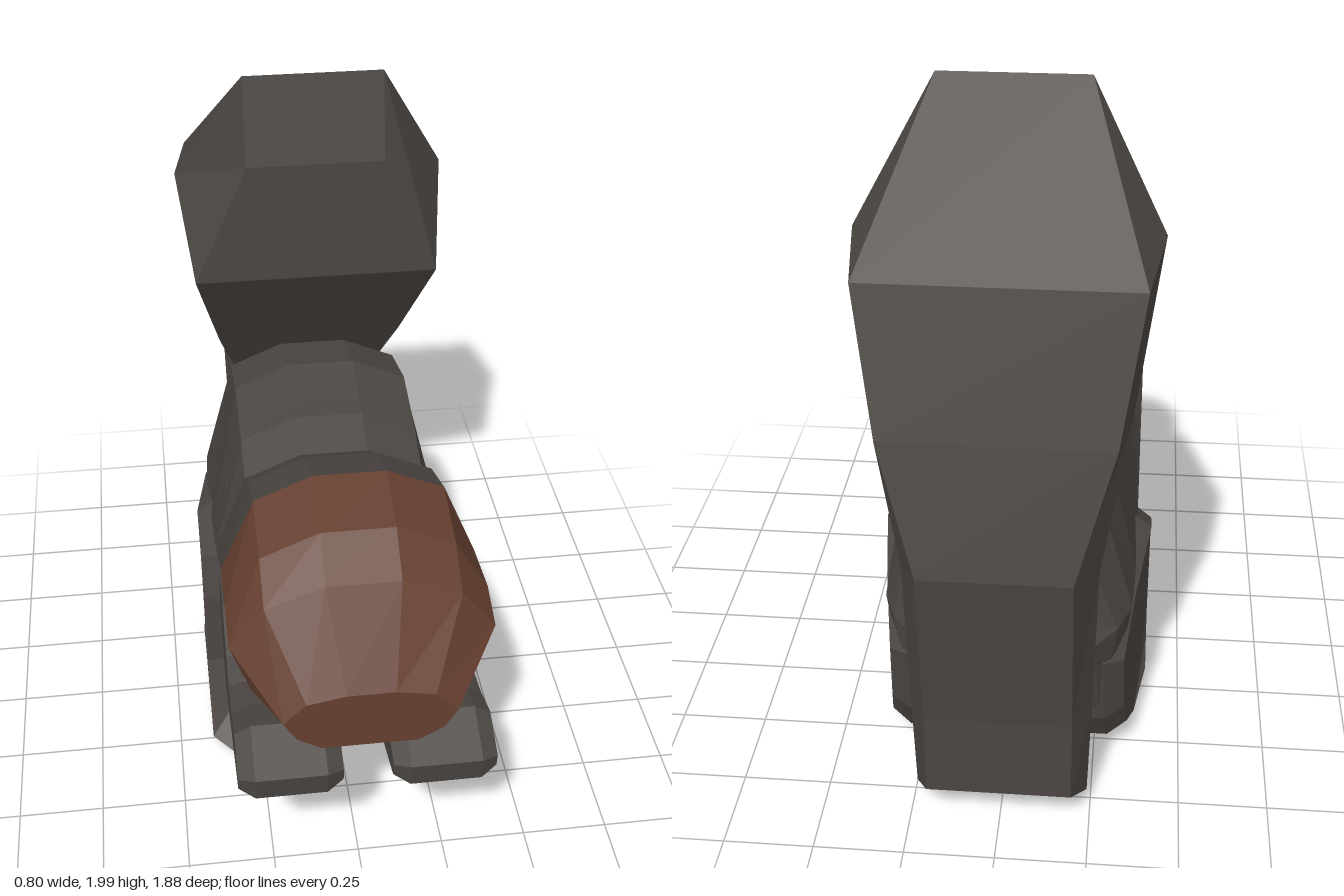
import * as THREE from 'three';

const fur = new THREE.MeshStandardMaterial({ color: 0x4b4642, flatShading: true });
const faceFur = new THREE.MeshStandardMaterial({ color: 0x643f2f, flatShading: true });

// Skins mirrored rings; each half ring lists [x, y, z] points on the +x side.
function loft(name, halves, material) {
  const rings = halves.map((h) => [...h, ...[...h].reverse().map(([x, y, z]) => [-x, y, z])]);
  const n = rings[0].length;
  const index = [];
  for (let i = 0; i < rings.length - 1; i++) {
    for (let j = 0; j < n; j++) {
      const a = i * n + j, b = i * n + (j + 1) % n;
      index.push(a, b, b + n, a, b + n, a + n);
    }
  }
  const last = (rings.length - 1) * n;
  for (let j = 1; j < n - 1; j++) {
    index.push(0, j + 1, j, last, last + j, last + j + 1);
  }
  const geometry = new THREE.BufferGeometry();
  geometry.setAttribute('position', new THREE.Float32BufferAttribute(rings.flat(2), 3));
  geometry.setIndex(index);
  geometry.computeVertexNormals();
  const mesh = new THREE.Mesh(geometry, material);
  mesh.name = name;
  return mesh;
}

// Half ring of the trunk: z, five heights from spine to belly, width scale.
const trunkX = [0.1, 0.26, 0.355, 0.3, 0.2];
const trunkRing = ([z, top, upper, middle, lower, bottom, scale = 1]) =>
  [top, upper, middle, lower, bottom].map((y, i) => [trunkX[i] * scale, y, z]);

// Bevelled slab from a side profile of [z, y] points, centred on x.
function slab(name, profile, x, width, bevel, inset) {
  const shape = new THREE.Shape(profile.map(([z, y]) => new THREE.Vector2(z, y)));
  const geometry = new THREE.ExtrudeGeometry(shape, {
    depth: width - 2 * bevel, bevelThickness: bevel,
    bevelSize: inset, bevelOffset: -inset, bevelSegments: 1,
  });
  geometry.translate(0, 0, bevel - width / 2);
  geometry.rotateY(-Math.PI / 2);
  geometry.translate(x, 0, 0);
  // Narrow towards the rump
  const p = geometry.attributes.position;
  for (let i = 0; i < p.count; i++) {
    const back = Math.max(0, -0.25 - p.getZ(i));
    p.setX(i, p.getX(i) * (1 - 0.45 * back));
  }
  geometry.computeVertexNormals();
  const mesh = new THREE.Mesh(geometry, fur);
  mesh.name = name;
  return mesh;
}

export function createModel() {
  const group = new THREE.Group();
  group.name = 'squirrel';

  // Face, from the muzzle back
  const neck = [0.48, 1.2, 1.13, 0.9, 0.67, 0.6];
  const face = [
    [0.935, 0.83, 0.81, 0.75, 0.69, 0.65, 0.65],
    [0.77, 1.06, 1.0, 0.88, 0.72, 0.66],
    [0.66, 1.15, 1.08, 0.92, 0.74, 0.7],
    neck,
  ];
  group.add(loft('face', face.map(trunkRing), faceFur));

  // Body, from the neck to the rump
  const body = [
    neck,
    [0.3, 1.13, 1.06, 0.8, 0.55, 0.49],
    [0.15, 1.03, 0.96, 0.71, 0.48, 0.42],
    [0.03, 1.08, 1.01, 0.66, 0.45, 0.39],
    [-0.04, 1.09, 1.03, 0.64, 0.12, 0.05],
    [-0.18, 1.13, 1.06, 0.58, 0.1, 0.03],
    [-0.4, 1.07, 1.0, 0.56, 0.1, 0.03],
    [-0.55, 0.94, 0.89, 0.54, 0.14, 0.07, 0.98],
    [-0.64, 0.78, 0.75, 0.53, 0.26, 0.2, 0.88],
    [-0.7, 0.62, 0.6, 0.51, 0.45, 0.42, 0.7],
  ];
  group.add(loft('body', body.map(trunkRing), fur));

  // Tail, from base to tip: front, side and back edges as [half width, y, z]
  const tail = [
    [[0.2, 0.01, -0.7], [0.24, 0.07, -0.78], [0.2, 0.13, -0.88]],
    [[0.2, 0.4, -0.69], [0.25, 0.39, -0.78], [0.2, 0.38, -0.88]],
    [[0.2, 0.76, -0.66], [0.26, 0.82, -0.79], [0.2, 0.88, -0.94]],
    [[0.29, 1.06, -0.47], [0.33, 1.2, -0.66], [0.3, 1.23, -0.86]],
    [[0.36, 1.39, -0.25], [0.4, 1.64, -0.48], [0.36, 1.61, -0.76]],
    [[0.2, 1.75, -0.26], [0.2, 2, -0.32], [0.2, 2, -0.32]],
  ];
  group.add(loft('tail', tail, fur));

  // Paired limbs
  const arm = [
    [0.2, 0.46], [0.35, 0.315], [0.93, 0.475], [0.94, 0.55], [0.8, 0.615],
    [0.68, 0.575], [0.57, 0.56], [0.53, 0.62], [0.4, 0.72], [0.2, 0.7],
  ];
  const hindLeg = [
    [0.34, 0.035], [0.24, 0.12], [0.04, 0.15], [0.03, 0.39], [-0.02, 0.54], [-0.2, 0.62],
    [-0.5, 0.56], [-0.66, 0.42], [-0.63, 0.2], [-0.57, 0.09], [-0.44, 0.025],
    [-0.22, 0.02], [-0.08, 0.04],
  ];
  for (const [side, s] of [['left', 1], ['right', -1]]) {
    group.add(slab(side + 'Arm', arm, s * 0.21, 0.285, 0.045, 0.025));
    group.add(slab(side + 'HindLeg', hindLeg, s * 0.23, 0.335, 0.06, 0.04));
  }
  return group;
}
